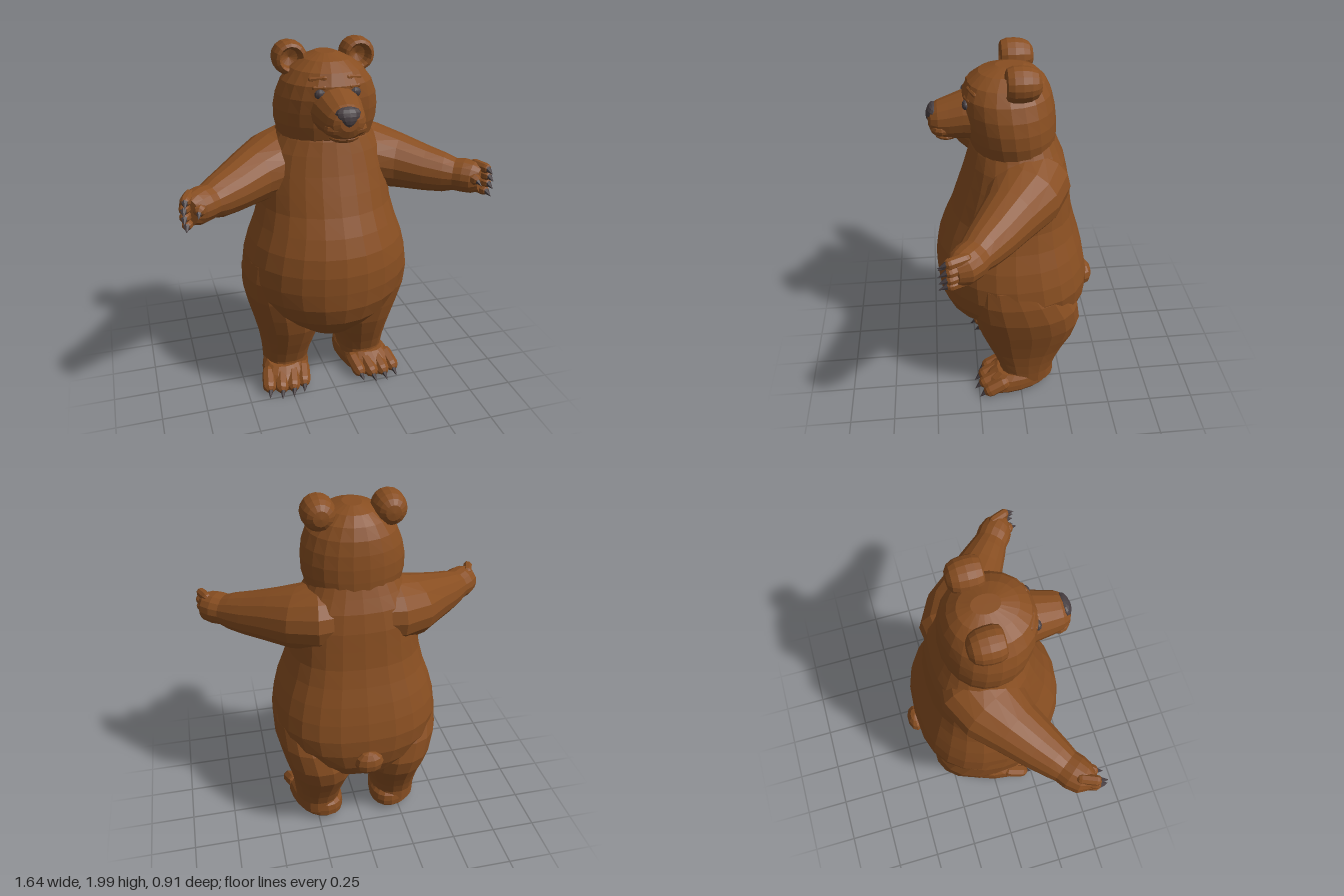
import * as THREE from 'three';

const V = (x, y, z) => new THREE.Vector3(x, y, z);
const fur = new THREE.MeshStandardMaterial({ color: 0x884e21 });
fur.name = 'brown fur';
const dark = new THREE.MeshStandardMaterial({ color: 0x473e41 });
dark.name = 'dark grey claw';

// Skin a list of rings (counter-wound about the axis) and cap both ends.
function loft(rings) {
  const n = rings[0].length, pos = [], idx = [];
  rings.forEach(r => r.forEach(p => pos.push(p.x, p.y, p.z)));
  for (let i = 0; i < rings.length - 1; i++) for (let j = 0; j < n; j++) {
    const a = i * n + j, b = i * n + (j + 1) % n;
    idx.push(a, a + n, b + n, a, b + n, b);
  }
  [0, rings.length - 1].forEach((k, end) => {
    const c = rings[k].reduce((s, p) => s.add(p), V(0, 0, 0)).divideScalar(n);
    const ci = pos.length / 3;
    pos.push(c.x, c.y, c.z);
    for (let j = 0; j < n; j++) {
      const a = k * n + j, b = k * n + (j + 1) % n;
      if (end) idx.push(ci, b, a); else idx.push(ci, a, b);
    }
  });
  const g = new THREE.BufferGeometry();
  g.setAttribute('position', new THREE.Float32BufferAttribute(pos, 3));
  g.setIndex(idx);
  return g;
}

// Upright form from sections [y, xMin, xMax, zFront, zBack].
// front and back set how square each half is; skew shifts x with z.
function upright(sections, { n = 20, front = 2.2, back = 2.2, skew = 0 } = {}) {
  return loft(sections.map(([y, x0, x1, zf, zb]) => Array.from({ length: n }, (_, j) => {
    const a = j / n * Math.PI * 2, e = 2 / (Math.sin(a) > 0 ? front : back);
    const sup = t => Math.sign(t) * Math.abs(t) ** e;
    const z = (zf + zb) / 2 + (zf - zb) / 2 * sup(Math.sin(a));
    return V((x0 + x1) / 2 + (x1 - x0) / 2 * sup(Math.cos(a)) + skew * z, y, z);
  })));
}
const centred = rows => rows.map(([y, rx, zf, zb]) => [y, -rx, rx, zf, zb]);

// Level limb from sections [x, y, z, halfWidth, halfHeight], following its own path.
function limb(sections, n = 16) {
  return loft(sections.map(([x, y, z, w, h], i) => {
    const p = sections[Math.max(i - 1, 0)], q = sections[Math.min(i + 1, sections.length - 1)];
    const d = V(q[0] - p[0], 0, q[2] - p[2]).normalize();
    return Array.from({ length: n }, (_, j) => {
      const a = j / n * Math.PI * 2, s = Math.sin(a) * w;
      return V(x + d.z * s, y + Math.cos(a) * h, z - d.x * s);
    });
  }));
}

// Lay a y-axis geometry between two points.
function between(g, a, b) {
  const q = new THREE.Quaternion().setFromUnitVectors(V(0, 1, 0), b.clone().sub(a).normalize());
  const m = a.clone().add(b).multiplyScalar(0.5);
  return g.applyQuaternion(q).translate(m.x, m.y, m.z);
}
const capsule = (a, b, r) => between(new THREE.CapsuleGeometry(r, a.distanceTo(b), 3, 8), a, b);
const claw = (a, b, r) => between(new THREE.ConeGeometry(r, a.distanceTo(b), 6), a, b);
const ball = (x, y, z, rx, ry, rz, w = 12, h = 8) =>
  new THREE.SphereGeometry(1, w, h).scale(rx, ry, rz).translate(x, y, z);

function add(group, name, geo, mat = fur) {
  const flat = geo.toNonIndexed();
  flat.computeVertexNormals();
  const mesh = new THREE.Mesh(flat, mat);
  mesh.name = name;
  group.add(mesh);
}

// Add a left part and its mirrored right twin.
function pair(group, name, geo, mat = fur) {
  const twin = geo.clone().scale(-1, 1, 1), ix = twin.index.array;
  for (let i = 0; i < ix.length; i += 3) [ix[i], ix[i + 1]] = [ix[i + 1], ix[i]];
  add(group, name + 'Left', geo, mat);
  add(group, name + 'Right', twin, mat);
}

function buildBody(g) {
  add(g, 'torso', upright(centred([
    [0.365, 0.07, 0.21, -0.1], [0.4, 0.19, 0.27, -0.25], [0.47, 0.29, 0.345, -0.335],
    [0.55, 0.375, 0.41, -0.375], [0.65, 0.44, 0.443, -0.398], [0.75, 0.463, 0.45, -0.398],
    [0.85, 0.452, 0.45, -0.38], [0.95, 0.425, 0.435, -0.355], [1.05, 0.387, 0.4, -0.325],
    [1.15, 0.36, 0.355, -0.3], [1.25, 0.35, 0.32, -0.287], [1.35, 0.335, 0.285, -0.275],
    [1.45, 0.305, 0.255, -0.252], [1.52, 0.262, 0.235, -0.222], [1.6, 0.22, 0.2, -0.19],
  ]), { n: 24, front: 2, back: 2.45 }));
  add(g, 'tail', ball(0, 0.61, -0.405, 0.08, 0.072, 0.047, 10, 6));
}

function buildLegs(g) {
  pair(g, 'leg', upright([
    [0.08, 0.105, 0.362, 0.12, -0.2], [0.15, 0.1, 0.366, 0.12, -0.2], [0.22, 0.085, 0.373, 0.145, -0.225],
    [0.3, 0.06, 0.385, 0.18, -0.265], [0.4, 0.025, 0.41, 0.22, -0.32], [0.5, 0.02, 0.438, 0.245, -0.345],
    [0.62, 0.04, 0.466, 0.265, -0.325], [0.74, 0.08, 0.469, 0.27, -0.26], [0.84, 0.12, 0.45, 0.25, -0.17],
    [0.93, 0.18, 0.41, 0.18, -0.1],
  ], { n: 18, front: 2.5 }));
  pair(g, 'foot', upright([
    [0.022, 0.115, 0.365, 0.2, -0.185], [0.045, 0.1, 0.38, 0.22, -0.208], [0.08, 0.098, 0.38, 0.215, -0.212],
    [0.115, 0.105, 0.375, 0.175, -0.208], [0.142, 0.125, 0.355, 0.13, -0.185],
  ], { front: 2.4, skew: 0.2 }).rotateX(0.05));
  // Four toes with claws
  for (let i = 0; i < 4; i++) {
    const t = i - 1.5, x = 0.275 + t * 0.068, z = 0.212 - t * t * 0.012;
    pair(g, 'toe', capsule(V(x - 0.015, 0.09, z - 0.08), V(x, 0.056, z), 0.041));
    pair(g, 'toeClaw', claw(V(x, 0.052, z + 0.022), V(x + 0.012, 0.014, z + 0.066), 0.021), dark);
  }
}

function buildArms(g) {
  pair(g, 'arm', limb([
    [0.06, 1.37, -0.04, 0.2, 0.17], [0.2, 1.365, -0.04, 0.222, 0.184], [0.3, 1.348, -0.005, 0.195, 0.17],
    [0.42, 1.325, 0.075, 0.152, 0.147], [0.54, 1.3, 0.165, 0.126, 0.122], [0.62, 1.288, 0.225, 0.105, 0.105],
    [0.665, 1.285, 0.258, 0.092, 0.086], [0.705, 1.285, 0.288, 0.095, 0.09], [0.745, 1.282, 0.325, 0.085, 0.086],
    [0.77, 1.28, 0.36, 0.05, 0.068],
  ]));
  // Four stacked fingers, then the thumb
  for (let i = 0; i < 4; i++) {
    const y = 1.222 + i * 0.041, out = 0.01 * Math.sin(i / 3 * Math.PI);
    pair(g, 'finger', capsule(V(0.757, y + 0.003, 0.3), V(0.785 + out, y, 0.37), 0.027));
    pair(g, 'fingerClaw', claw(V(0.789 + out, y, 0.385), V(0.795 + out, y - 0.016, 0.43), 0.018), dark);
  }
  pair(g, 'thumb', capsule(V(0.69, 1.31, 0.31), V(0.722, 1.292, 0.372), 0.033));
  pair(g, 'thumbClaw', claw(V(0.726, 1.29, 0.388), V(0.736, 1.27, 0.432), 0.018), dark);
}

function buildHead(g) {
  add(g, 'head', upright(centred([
    [1.495, 0.225, 0.205, -0.2], [1.53, 0.252, 0.232, -0.206], [1.6, 0.27, 0.25, -0.207],
    [1.67, 0.272, 0.262, -0.204], [1.74, 0.26, 0.272, -0.196], [1.81, 0.232, 0.27, -0.18],
    [1.87, 0.185, 0.242, -0.15], [1.915, 0.122, 0.185, -0.105], [1.942, 0.05, 0.1, -0.04],
  ]), { n: 22, front: 2.1, back: 2.1 }));
  add(g, 'snout', limb([
    [0, 1.69, 0.18, 0.145, 0.135], [0, 1.685, 0.27, 0.126, 0.122], [0, 1.672, 0.34, 0.112, 0.108],
    [0, 1.667, 0.395, 0.1, 0.092], [0, 1.668, 0.43, 0.078, 0.068], [0, 1.675, 0.444, 0.045, 0.04],
  ]));
  pair(g, 'lip', ball(0.045, 1.638, 0.378, 0.063, 0.042, 0.06));
  add(g, 'chin', ball(0, 1.588, 0.355, 0.078, 0.028, 0.065));
  // Nose pad, narrowing downward
  const nose = ball(0, 0, 0, 0.06, 0.05, 0.032), p = nose.attributes.position;
  for (let i = 0; i < p.count; i++) p.setX(i, p.getX(i) * (1 + p.getY(i) * 8));
  add(g, 'nose', nose.rotateX(-0.25).translate(0, 1.702, 0.422), dark);
  // Eyes tucked under heavy lids
  pair(g, 'eye', ball(0.09, 1.776, 0.254, 0.029, 0.025, 0.019, 10, 8), dark);
  pair(g, 'eyelid', capsule(V(0.066, 1.806, 0.252), V(0.114, 1.804, 0.235), 0.012));
  pair(g, 'brow', capsule(V(0.06, 1.848, 0.235), V(0.125, 1.84, 0.208), 0.013));
  // Cupped ears, hollow at the front
  const profile = [[0, -0.097], [0.04, -0.092], [0.067, -0.074], [0.083, -0.042], [0.089, 0], [0.088, 0.04],
    [0.077, 0.07], [0.062, 0.078], [0.05, 0.064], [0.042, 0.025], [0, 0.01]].map(q => new THREE.Vector2(...q));
  pair(g, 'ear', new THREE.LatheGeometry(profile, 16).rotateX(Math.PI / 2).translate(0.18, 1.912, -0.014));
}

export function createModel() {
  const model = new THREE.Group();
  model.name = 'bear';
  for (const [name, build] of Object.entries({ body: buildBody, legs: buildLegs, arms: buildArms, headGroup: buildHead })) {
    const g = new THREE.Group();
    g.name = name;
    build(g);
    model.add(g);
  }
  return model;
}
